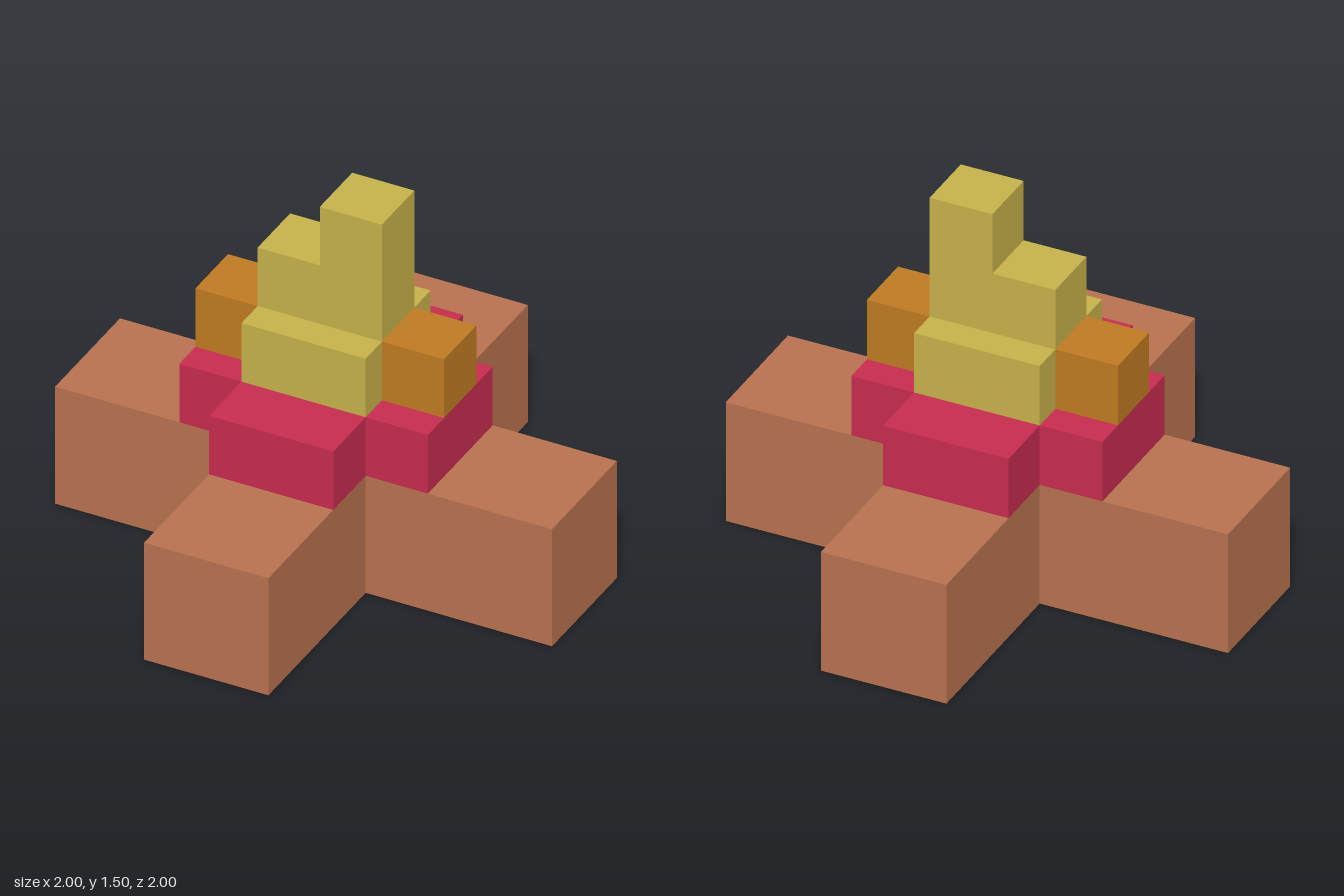
import * as THREE from 'three';

function material(name, color) {
  const m = new THREE.MeshStandardMaterial({ color });
  m.name = name;
  return m;
}

// Extrudes a flat outline, given as [x, y] points
function extrude(points, depth) {
  const shape = new THREE.Shape(points.map(([x, y]) => new THREE.Vector2(x, y)));
  return new THREE.ExtrudeGeometry(shape, { depth, bevelEnabled: false });
}

// Plus-shaped slab: arms reach to r, half-width w, from y0 up by h
function crossSlab(r, w, y0, h) {
  const outline = [
    [-w, -r], [w, -r], [w, -w], [r, -w], [r, w], [w, w],
    [w, r], [-w, r], [-w, w], [-r, w], [-r, -w], [-w, -w],
  ];
  return extrude(outline, h).rotateX(-Math.PI / 2).translate(0, y0, 0);
}

export function createModel() {
  const group = new THREE.Group();
  const brown = material('clay brown', 0xba7350);
  const red = material('crimson', 0xc92c50);
  const yellow = material('mustard', 0xc8b34b);
  const orange = material('orange', 0xc17b22);

  const add = (name, geometry, mat) => {
    const mesh = new THREE.Mesh(geometry, mat);
    mesh.name = name;
    group.add(mesh);
    return mesh;
  };

  // Two stacked cross tiers
  add('baseCross', crossSlab(1, 0.25, 0, 0.5), brown);
  add('middleCross', crossSlab(0.5, 0.25, 0.5, 0.25), red);

  // Square core with a block on either side
  add('core', new THREE.BoxGeometry(0.5, 0.25, 0.5), yellow).position.y = 0.875;
  for (const [name, side] of [['leftBlock', 1], ['rightBlock', -1]]) {
    add(name, new THREE.BoxGeometry(0.25, 0.25, 0.25), orange).position.set(side * 0.375, 0.875, 0);
  }

  // Stepped tower, taller on the left
  const steps = [[-0.25, 1], [0.25, 1], [0.25, 1.5], [0, 1.5], [0, 1.25], [-0.25, 1.25]];
  add('steppedTower', extrude(steps, 0.25).translate(0, 0, -0.125), yellow);

  return group;
}
